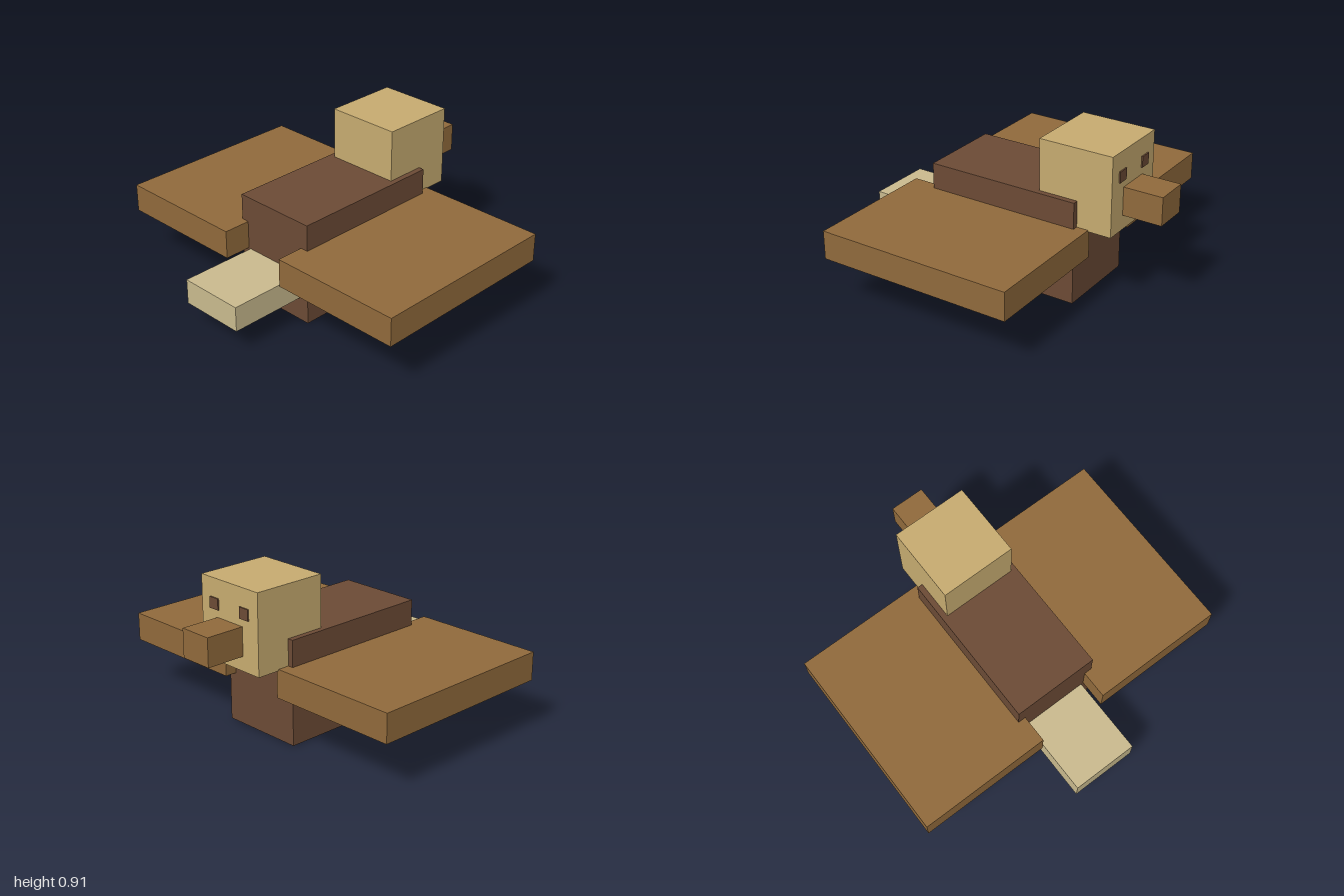
import * as THREE from 'three';

export function createModel() {
  const model = new THREE.Group();
  model.name = 'blockBird';

  const paint = (name, color) => {
    const m = new THREE.MeshStandardMaterial({ color });
    m.name = name;
    return m;
  };
  const darkBrown = paint('dark brown', 0x6b4a35);
  const brown = paint('brown', 0x8f693b);
  const tan = paint('tan', 0xc5aa6f);
  const paleTan = paint('pale tan', 0xc8b98d);

  // Box given by its extents along each axis
  const block = (name, material, [x0, x1], [y0, y1], [z0, z1]) => {
    const mesh = new THREE.Mesh(new THREE.BoxGeometry(x1 - x0, y1 - y0, z1 - z0), material);
    mesh.position.set((x0 + x1) / 2, (y0 + y1) / 2, (z0 + z1) / 2);
    mesh.name = name;
    model.add(mesh);
  };

  block('body', darkBrown, [-0.257, 0.253], [0, 0.607], [-0.475, 0.452]);
  block('tail', paleTan, [-0.198, 0.194], [0.139, 0.286], [0.44, 0.912]);

  // Head and beak point to the back
  block('head', tan, [-0.224, 0.22], [0.446, 0.909], [-0.682, -0.237]);
  block('beak', brown, [-0.102, 0.098], [0.53, 0.695], [-0.914, -0.67]);

  // Wings, slightly sunk into the body
  block('leftWing', brown, [0.207, 1], [0.288, 0.454], [-0.545, 0.614]);
  block('rightWing', brown, [-1, -0.211], [0.288, 0.454], [-0.545, 0.614]);

  // Thin eye plates on the face
  block('leftEye', darkBrown, [0.083, 0.15], [0.738, 0.802], [-0.69, -0.681]);
  block('rightEye', darkBrown, [-0.154, -0.087], [0.738, 0.802], [-0.69, -0.681]);

  return model;
}
